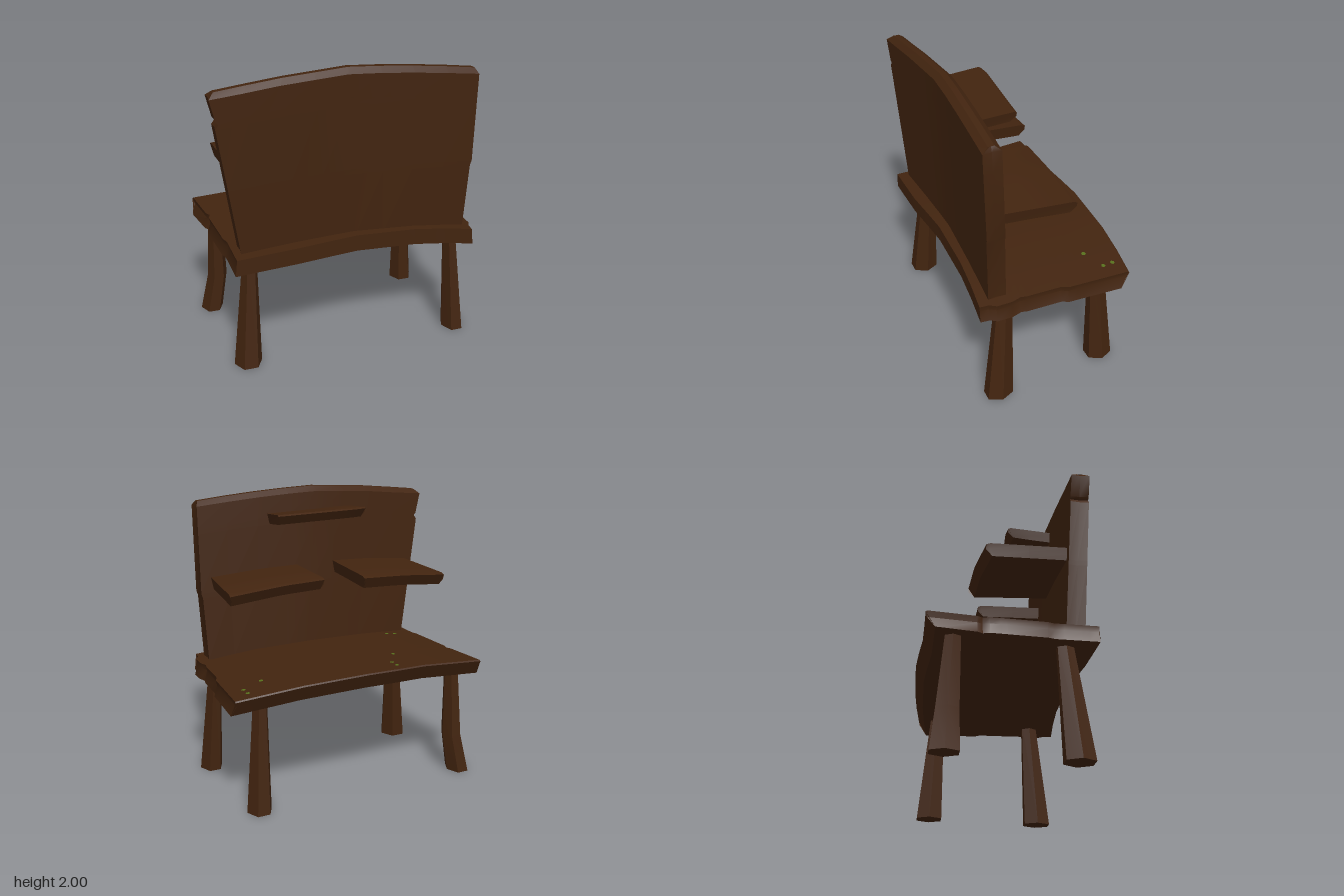
import * as THREE from 'three';
import { toCreasedNormals } from 'three/addons/utils/BufferGeometryUtils.js';

const lerp = THREE.MathUtils.lerp;

// Piecewise linear curve through [t, value] points
function curve(points) {
  return (t) => {
    let i = 1;
    while (i < points.length - 1 && t > points[i][0]) i++;
    const [t0, v0] = points[i - 1], [t1, v1] = points[i];
    return lerp(v0, v1, THREE.MathUtils.clamp((t - t0) / (t1 - t0), 0, 1));
  };
}

// Skin a row of even-sided rings and close both ends
function loft(rings) {
  const n = rings[0].length, pos = [];
  let volume = 0;
  const v = (p) => new THREE.Vector3(...p);
  const tri = (a, b, c) => {
    if (v(b).sub(v(a)).cross(v(c).sub(v(a))).length() < 1e-9) return;
    volume += v(a).dot(v(b).cross(v(c)));
    pos.push([a, b, c]);
  };
  const quad = (a, b, c, d) => { tri(a, b, c); tri(a, c, d); };
  for (let r = 0; r < rings.length - 1; r++) {
    for (let i = 0; i < n; i++) {
      const j = (i + 1) % n;
      quad(rings[r][i], rings[r][j], rings[r + 1][j], rings[r + 1][i]);
    }
  }
  const first = rings[0], last = rings[rings.length - 1];
  for (let i = 0; i < n / 2; i++) {
    const o = (n - i) % n, p = n - i - 1;
    quad(first[o], first[p], first[i + 1], first[i]);
    quad(last[i], last[i + 1], last[p], last[o]);
  }
  const tris = volume < 0 ? pos.map(([a, b, c]) => [a, c, b]) : pos;
  const g = new THREE.BufferGeometry();
  g.setAttribute('position', new THREE.Float32BufferAttribute(tris.flat(2), 3));
  return toCreasedNormals(g, 0.55);
}

// Plank: at(a, s, side) gives a point; a = across, s = along, side = 1 / -1 faces, 0 = end groove
function plank(rows, groove, at) {
  const cols = [0, 0.12, 0.25, 0.375, 0.5, 0.625, 0.75, 0.88, 1];
  return loft(rows.map((s) => [
    at(groove, s, 0),
    ...cols.map((a) => at(a, s, 1)),
    at(1 - groove, s, 0),
    ...[...cols].reverse().map((a) => at(a, s, -1)),
  ]));
}

export function createModel() {
  const group = new THREE.Group();
  const wood = new THREE.MeshStandardMaterial({ color: 0x42240f });
  wood.name = 'darkWood';
  const moss = new THREE.MeshStandardMaterial({ color: 0x56701c });
  moss.name = 'mossGreen';
  const add = (name, geometry, material = wood) => {
    const mesh = new THREE.Mesh(geometry, material);
    mesh.name = name;
    group.add(mesh);
    return mesh;
  };

  // Arched tabletop with notched ends and an undercut back edge
  const tableTop = curve([[-0.89, 0.85], [-0.45, 0.875], [0, 0.885], [0.5, 0.865], [0.9, 0.815]]);
  const tableLeft = curve([[0, -0.9], [0.3, -0.86], [0.33, -0.84], [0.37, -0.855], [0.7, -0.83], [0.74, -0.815], [1, -0.81]]);
  const tableRight = curve([[0, 0.9], [0.43, 0.885], [0.47, 0.865], [0.72, 0.86], [0.76, 0.845], [0.8, 0.87], [0.9, 0.87], [0.94, 0.845], [1, 0.84]]);
  const tableBack = curve([[-0.89, -0.53], [-0.47, -0.525], [-0.05, -0.555], [0.55, -0.535], [0.9, -0.49]]);
  const tableFront = curve([[-0.81, 0.55], [-0.42, 0.55], [0, 0.51], [0.5, 0.515], [0.84, 0.55]]);
  const tableRows = [0, 0.02, 0.3, 0.33, 0.37, 0.43, 0.47, 0.7, 0.74, 0.8, 0.9, 0.94, 1];
  add('tabletop', plank(tableRows, 0.012, (a, s, side) => {
    let x = lerp(tableLeft(s), tableRight(s), a);
    const undercut = s < 0.02 ? [0.07, 0.02, 0.012][side + 1] : s < 0.3 ? [0.07, 0, 0][side + 1] : 0;
    const z = lerp(tableBack(x), tableFront(x), s) + undercut;
    const y = tableTop(x) - [0.112, 0.04, s === 0 ? 0.008 : 0][side + 1];
    if (side === 1) x *= 0.985;
    return [x, y, z];
  }));

  // Upright panel, bowed across and leaning slightly, with a ridged top
  const panelTop = curve([[-0.87, 1.93], [-0.5, 1.97], [0, 2], [0.5, 1.965], [0.8, 1.93]]);
  const panelLeft = curve([[0, -0.75], [0.8, -0.88], [0.825, -0.86], [0.84, -0.875], [0.97, -0.91], [1, -0.875]]);
  const panelRight = curve([[0, 0.79], [0.4, 0.81], [0.43, 0.82], [0.97, 0.82], [1, 0.805]]);
  add('backPanel', plank([0, 0.4, 0.43, 0.8, 0.825, 0.84, 0.97, 1], 0.004, (a, s, side) => {
    const x = lerp(panelLeft(s), panelRight(s), a);
    const y = lerp(0.83, panelTop(x), s);
    const mid = 0.415 + 0.045 * Math.abs(x) - 0.035 * (1 - s);
    return [x, y, mid + side * (s === 1 ? 0.02 : 0.06)];
  }));

  // Shelves: edges are [back, front] x values, back edge z, and top height by x and s
  const shelves = [
    { name: 'rightShelf', left: [-0.8, -0.78], right: [-0.14, -0.165],
      back: curve([[-0.8, -0.15], [-0.45, -0.19], [-0.14, -0.2]]),
      top: curve([[-0.8, 1.4], [-0.45, 1.435], [-0.14, 1.445]]), rise: 0.015, thick: 0.085 },
    { name: 'leftShelf', left: [0.11, 0.12], right: [0.78, 0.745],
      back: curve([[0.11, -0.105], [0.78, -0.125]]),
      top: curve([[0.11, 1.44], [0.4, 1.43], [0.78, 1.395]]), rise: 0.015, thick: 0.08 },
    { name: 'topShelf', left: [-0.28, -0.29], right: [0.355, 0.325],
      back: curve([[-0.27, 0.065], [-0.2, 0.055], [0.35, 0.09]]),
      top: curve([[-0.27, 1.873], [0.35, 1.85]]), rise: -0.03, thick: 0.07 },
  ];
  for (const { name, left, right, back, top, rise, thick } of shelves) {
    add(name, plank([0, 0.05, 0.5, 1], 0.012, (a, s, side) => {
      let x = lerp(lerp(left[0], left[1], s), lerp(right[0], right[1], s), a);
      const y = top(x) + rise * s - [thick, thick * 0.5, s === 0 ? 0.01 : 0][side + 1];
      const z = lerp(back(x), 0.4, s) + (s < 0.1 && side === -1 ? 0.04 : 0);
      if (side === -1) x += (0.5 - a) * 0.03;
      return [x, y, z];
    }));
  }

  // Splayed six-sided legs; rings are [y, x, z, x radius, z radius]
  const legs = {
    frontLeftLeg: [[0, 0.79, 0.41, 0.08, 0.09], [0.78, 0.75, 0.355, 0.045, 0.05]],
    frontRightLeg: [[0, -0.725, 0.41, 0.095, 0.09], [0.78, -0.675, 0.355, 0.047, 0.05]],
    backLeftLeg: [[0, 0.715, -0.385, 0.085, 0.087], [0.78, 0.678, -0.345, 0.047, 0.047]],
    backRightLeg: [[0, -0.815, -0.385, 0.08, 0.087], [0.28, -0.765, -0.37, 0.07, 0.07], [0.78, -0.76, -0.345, 0.05, 0.047]],
  };
  for (const [name, rings] of Object.entries(legs)) {
    add(name, loft(rings.map(([y, x, z, rx, rz]) => Array.from({ length: 6 }, (_, k) => {
      const t = (k * Math.PI) / 3;
      return [x + rx * Math.cos(t), y, z + (rz * Math.sin(t)) / 0.866];
    }))));
  }

  // Flat moss specks on the tabletop
  const specks = [[-0.26, -0.45], [-0.26, -0.385], [-0.36, -0.22], [0.78, -0.41], [0.785, -0.34], [0.64, -0.27], [-0.64, 0.25], [-0.58, 0.27]];
  specks.forEach(([x, z], i) => {
    const speck = add('mossSpeck', new THREE.CircleGeometry(0.016, 5 + (i % 2)).rotateX(-Math.PI / 2), moss);
    speck.position.set(x, tableTop(x) + 0.005, z);
    speck.rotation.z = (tableTop(x + 0.02) - tableTop(x - 0.02)) / 0.04;
  });

  return group;
}
